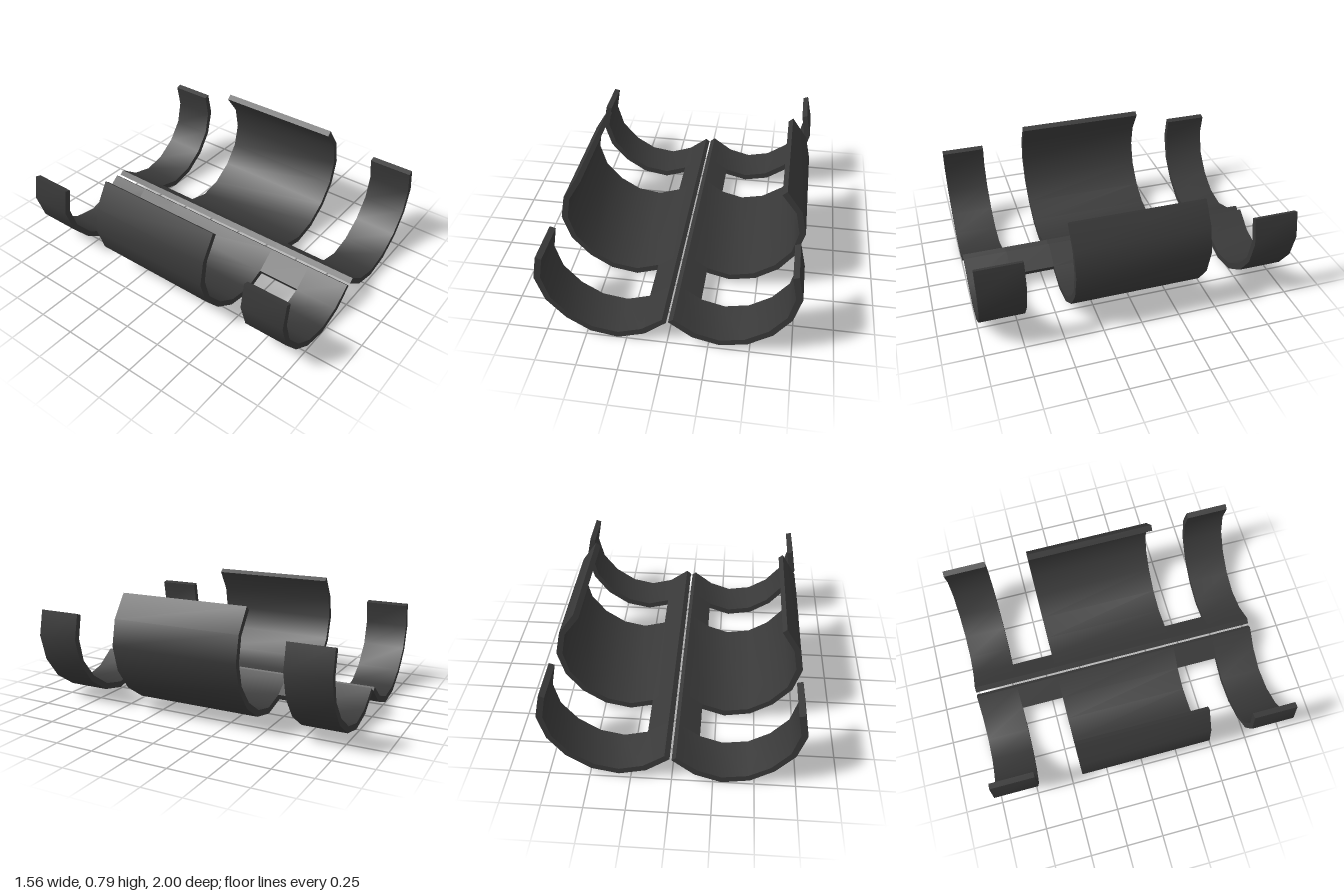
import * as THREE from 'three';
import { toCreasedNormals } from 'three/addons/utils/BufferGeometryUtils.js';

const darkPlastic = new THREE.MeshStandardMaterial({ color: 0x383838 });
darkPlastic.name = 'darkPlastic';

// Cradle profiles from the spine outward: [outer x, outer y, inner x, inner y]
const leftProfile = [
  [0.01, 0.18, 0.04, 0.205], [0.153, 0.073, 0.172, 0.11], [0.32, 0.031, 0.32, 0.071],
  [0.487, 0.066, 0.471, 0.104], [0.634, 0.167, 0.607, 0.196], [0.736, 0.308, 0.705, 0.325],
  [0.78, 0.477, 0.74, 0.477], [0.745, 0.643, 0.711, 0.63], [0.643, 0.788, 0.614, 0.761],
];
const rightProfile = [
  [-0.002, 0.172, -0.027, 0.193], [-0.138, 0.058, -0.157, 0.094], [-0.303, 0.002, -0.302, 0.045],
  [-0.473, 0.032, -0.46, 0.07], [-0.617, 0.125, -0.592, 0.152], [-0.732, 0.26, -0.7, 0.28],
  [-0.784, 0.43, -0.743, 0.434], [-0.755, 0.59, -0.718, 0.58], [-0.661, 0.744, -0.634, 0.722],
];

// Extrude the first few facets of a profile between two depths
function shell(name, profile, points, z0, z1) {
  const part = profile.slice(0, points);
  const outline = part.map(p => new THREE.Vector2(p[0], p[1]))
    .concat(part.map(p => new THREE.Vector2(p[2], p[3])).reverse());
  const geometry = new THREE.ExtrudeGeometry(new THREE.Shape(outline), {
    depth: z1 - z0, bevelEnabled: false,
  });
  geometry.translate(0, 0, z0);
  const mesh = new THREE.Mesh(toCreasedNormals(geometry, 0.65), darkPlastic);
  mesh.name = name;
  return mesh;
}

// Wide central cradle, two narrow end bands and the spine strips joining them
function cradle(name, profile) {
  const group = new THREE.Group();
  group.name = name;
  group.add(
    shell('centralCradle', profile, 9, -0.425, 0.425),
    shell('frontBand', profile, 8, 0.715, 1),
    shell('backBand', profile, 8, -1, -0.715),
    shell('frontSpine', profile, 2, 0.425, 0.715),
    shell('backSpine', profile, 2, -0.715, -0.425),
  );
  return group;
}

export function createModel() {
  const model = new THREE.Group();
  model.name = 'doubleCradle';
  model.add(cradle('leftCradle', leftProfile), cradle('rightCradle', rightProfile));
  return model;
}
